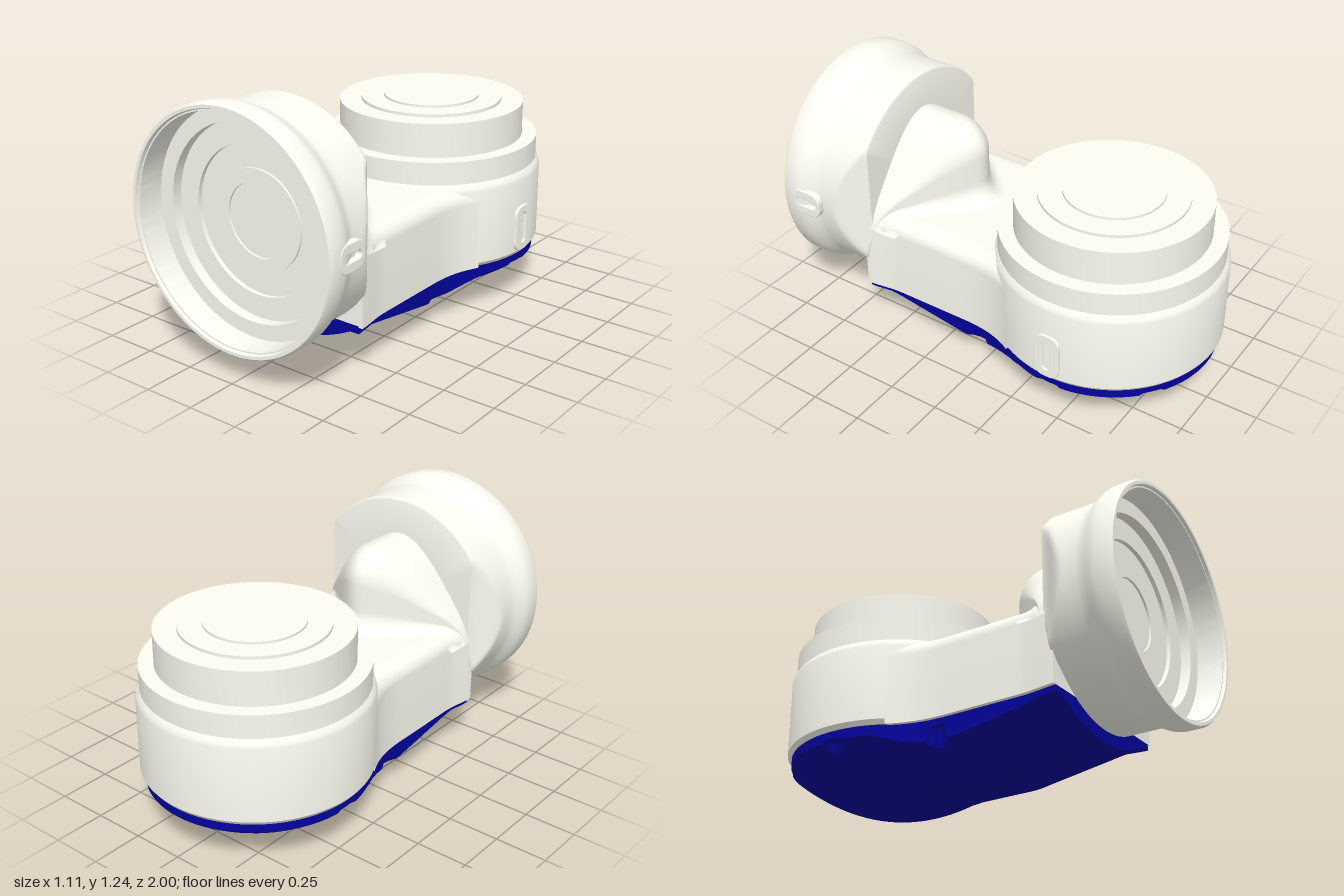
import * as THREE from 'three';
import { toCreasedNormals } from 'three/addons/utils/BufferGeometryUtils.js';

const shellMat = new THREE.MeshStandardMaterial({ color: 0xfcfcf2 });
const coverMat = new THREE.MeshStandardMaterial({ color: 0x03039c });
const DRUM_Z = -0.465, AXIS_Y = 0.685;
const smooth = THREE.MathUtils.smoothstep;

function add(group, name, geometry, material = shellMat) {
  const mesh = new THREE.Mesh(geometry, material);
  mesh.name = name;
  group.add(mesh);
  return mesh;
}

function lathe(profile, segments = 96) {
  return new THREE.LatheGeometry(profile.map(([r, h]) => new THREE.Vector2(r, h)), segments);
}

// Skin closed rings (counter-clockwise in x, y) along z, with flat ends
function loft(zs, ringAt, crease) {
  const rings = zs.map(ringAt), n = rings[0].length, pos = [], idx = [];
  rings.forEach((ring, i) => ring.forEach(([x, y]) => pos.push(x, y, zs[i])));
  for (let i = 0; i < zs.length - 1; i++) {
    for (let j = 0; j < n; j++) {
      const k = (j + 1) % n, a = i * n + j, b = i * n + k;
      idx.push(a, b, b + n, a, b + n, a + n);
    }
  }
  for (const end of [0, zs.length - 1]) {
    const points = rings[end].map(([x, y]) => new THREE.Vector2(x, y));
    for (const [a, b, c] of THREE.ShapeUtils.triangulateShape(points, [])) {
      const o = end * n;
      if (end) idx.push(o + a, o + b, o + c);
      else idx.push(o + a, o + c, o + b);
    }
  }
  const g = new THREE.BufferGeometry();
  g.setAttribute('position', new THREE.Float32BufferAttribute(pos, 3));
  g.setIndex(idx);
  return toCreasedNormals(g, crease);
}

// Half width of the arm, leaving the drum tangentially
function armWidth(z) {
  const t = THREE.MathUtils.clamp((z + 0.2) / 0.3, 0, 1);
  return 0.4 + 0.0645 * Math.pow(1 - t, 2.6) + 0.022 * smooth(z, 0.45, 0.66);
}

// Top of the arm with rounded shoulders
function armTop(x, z) {
  const e = THREE.MathUtils.clamp((Math.abs(x) - armWidth(z) + 0.08) / 0.08, 0, 1);
  return 0.645 - 0.08 * (1 - Math.sqrt(1 - e * e));
}

function armGeometry() {
  const zs = Array.from({ length: 61 }, (_, i) => -0.2 + (0.835 * i) / 60);
  return loft(zs, z => {
    const w = armWidth(z), ring = [[-w, 0.24], [w, 0.24]];
    for (let j = 0; j <= 48; j++) {
      const x = w * Math.sin((0.5 - j / 48) * Math.PI);
      ring.push([x, armTop(x, z)]);
    }
    return ring;
  }, 0.6);
}

// Bulge from the arm into the socket: a side profile swept over an arch,
// its back edge swept forward at 45 degrees on both sides
function elbowGeometry() {
  const side = new THREE.Path();
  side.moveTo(0.12, -0.01).lineTo(0.13, 0);
  side.absarc(0.13, 0.1, 0.1, -Math.PI / 2, 0, false);
  side.lineTo(0.23, 0.235);
  side.absarc(0.38, 0.235, 0.15, Math.PI, Math.PI / 2, true);
  side.lineTo(0.65, 0.385);
  const rows = 70, points = side.getSpacedPoints(rows);
  const g = new THREE.PlaneGeometry(2, 2, 72, rows), p = g.attributes.position;
  for (let i = 0; i < p.count; i++) {
    const x = 0.42 * p.getX(i);
    const { x: back, y: h } = points[Math.round((1 - p.getY(i)) * rows / 2)];
    const z = Math.min(0.66, back + Math.sqrt(x * x + 0.0064) - 0.08);
    const arch = Math.pow(0.5 + 0.5 * Math.cos(Math.PI * Math.min(1, Math.abs(x) / 0.43)), 0.65);
    p.setXYZ(i, x, armTop(x, z) - 0.002 + h * arch, z);
  }
  g.computeVertexNormals();
  return g;
}

// Screw pockets along the rim of the cover, mirrored in x
const pockets = [[0.39, 0.58], [0.4, 0.02], [0.51, -0.46], [0.31, -0.87]];

// Underside: a shallow dish below the drum flowing into a sloping keel
function coverBottom(x, z) {
  const dz = z - DRUM_Z;
  const dish = 0.75 * (x * x + dz * dz);
  const keel = 0.03 + 0.16 * Math.max(0, z - 0.1) + 0.4 * Math.max(0, -0.25 - z) + 0.75 * x * x;
  const blend = Math.max(0, 0.03 - Math.abs(dish - keel)) ** 2 / 0.12;
  let y = Math.min(Math.min(dish, keel) - blend, 0.21);
  for (const [px, pz] of pockets) {
    const d = Math.hypot(Math.abs(x) - px, z - pz);
    y = THREE.MathUtils.lerp(0.21, y, smooth(d, 0.042, 0.06));
  }
  return y;
}

function coverGeometry() {
  const zs = Array.from({ length: 191 }, (_, i) => -0.98 + 1.615 * Math.pow(i / 190, 1.3));
  return loft(zs, z => {
    const dz = z - DRUM_Z;
    const round = Math.sqrt(Math.max(0.0001, 0.515 * 0.515 - dz * dz));
    const w = z < -0.2 ? round : Math.max(round, armWidth(z) - 0.02);
    const ring = [];
    for (let j = 0; j <= 90; j++) {
      const x = w * (j / 45 - 1);
      ring.push([x, coverBottom(x, z)]);
    }
    ring.push([w, 0.247], [-w, 0.247]);
    return ring;
  }, 0.7);
}

// Round socket whose back flanks are pinched to meet the arm
function socketGeometry() {
  const profile = [[0, 0.59], [0.3, 0.59], [0.505, 0.59], [0.512, 0.593], [0.515, 0.6]];
  for (let i = 1; i <= 12; i++) profile.push([0.515, 0.6 + i * 0.014]);
  profile.push(
    [0.515, 0.81], [0.518, 0.83], [0.53, 0.855], [0.543, 0.88], [0.551, 0.9], [0.554, 0.92],
    [0.554, 0.985], [0.545, 1], [0.53, 1], [0.525, 0.985],
    // stepped recess
    [0.518, 0.985], [0.518, 0.86], [0.445, 0.86], [0.445, 0.81],
    [0.34, 0.81], [0.34, 0.79], [0.23, 0.79], [0.23, 0.8], [0.17, 0.8],
    [0.17, 0.79], [0, 0.79]);
  const g = lathe(profile, 128).rotateX(Math.PI / 2);
  const p = g.attributes.position;
  for (let i = 0; i < p.count; i++) {
    const x = p.getX(i), y = p.getY(i), z = p.getZ(i);
    if (z > 0.77) continue;
    const limit = 0.41 + 0.107 * smooth(z, 0.57, 0.75);
    p.setX(i, THREE.MathUtils.clamp(x, -limit, limit));
    p.setZ(i, Math.max(z, 0.59 + 0.05 * smooth(-y, 0.1, 0.4)));
  }
  return toCreasedNormals(g.translate(0, AXIS_Y, 0), 0.8);
}

function roundedOutline(path, w, h, r) {
  const x = w / 2, y = h / 2;
  path.moveTo(-x + r, -y).lineTo(x - r, -y);
  path.absarc(x - r, -y + r, r, -Math.PI / 2, 0);
  path.absarc(x - r, y - r, r, 0, Math.PI / 2);
  path.absarc(-x + r, y - r, r, Math.PI / 2, Math.PI);
  path.absarc(-x + r, -y + r, r, Math.PI, Math.PI * 1.5);
  return path;
}

// Slotted tab facing +x
function tabGeometry(w, h, r, slotW, slotH, depth) {
  const shape = roundedOutline(new THREE.Shape(), w, h, r);
  shape.holes.push(roundedOutline(new THREE.Path(), slotW, slotH, Math.min(slotW, slotH) * 0.49));
  return new THREE.ExtrudeGeometry(shape, {
    depth, curveSegments: 8, bevelSize: 0.004, bevelThickness: 0.004, bevelSegments: 2,
  }).rotateY(Math.PI / 2);
}

export function createModel() {
  const model = new THREE.Group();
  model.name = 'elbowJoint';

  // Upright drum with its stepped flange
  const drum = toCreasedNormals(lathe([
    [0, 0.245], [0.52, 0.245], [0.535, 0.265], [0.535, 0.62], [0.53, 0.64], [0.515, 0.66],
    [0.515, 0.77], [0.445, 0.77], [0.445, 0.932], [0.34, 0.932], [0.34, 0.946],
    [0.23, 0.946], [0.23, 0.957], [0, 0.957],
  ]), 0.5);
  add(model, 'drum', drum).position.z = DRUM_Z;

  add(model, 'arm', armGeometry());
  add(model, 'elbow', elbowGeometry());
  add(model, 'socket', socketGeometry());
  add(model, 'bottomCover', coverGeometry(), coverMat);

  // Tabs on the left side
  add(model, 'drumTab', tabGeometry(0.12, 0.22, 0.045, 0.045, 0.16, 0.05)).position.set(0.491, 0.38, DRUM_Z);
  add(model, 'socketTab', tabGeometry(0.15, 0.12, 0.045, 0.12, 0.045, 0.025)).position.set(0.526, AXIS_Y, 0.865);
  return model;
}
